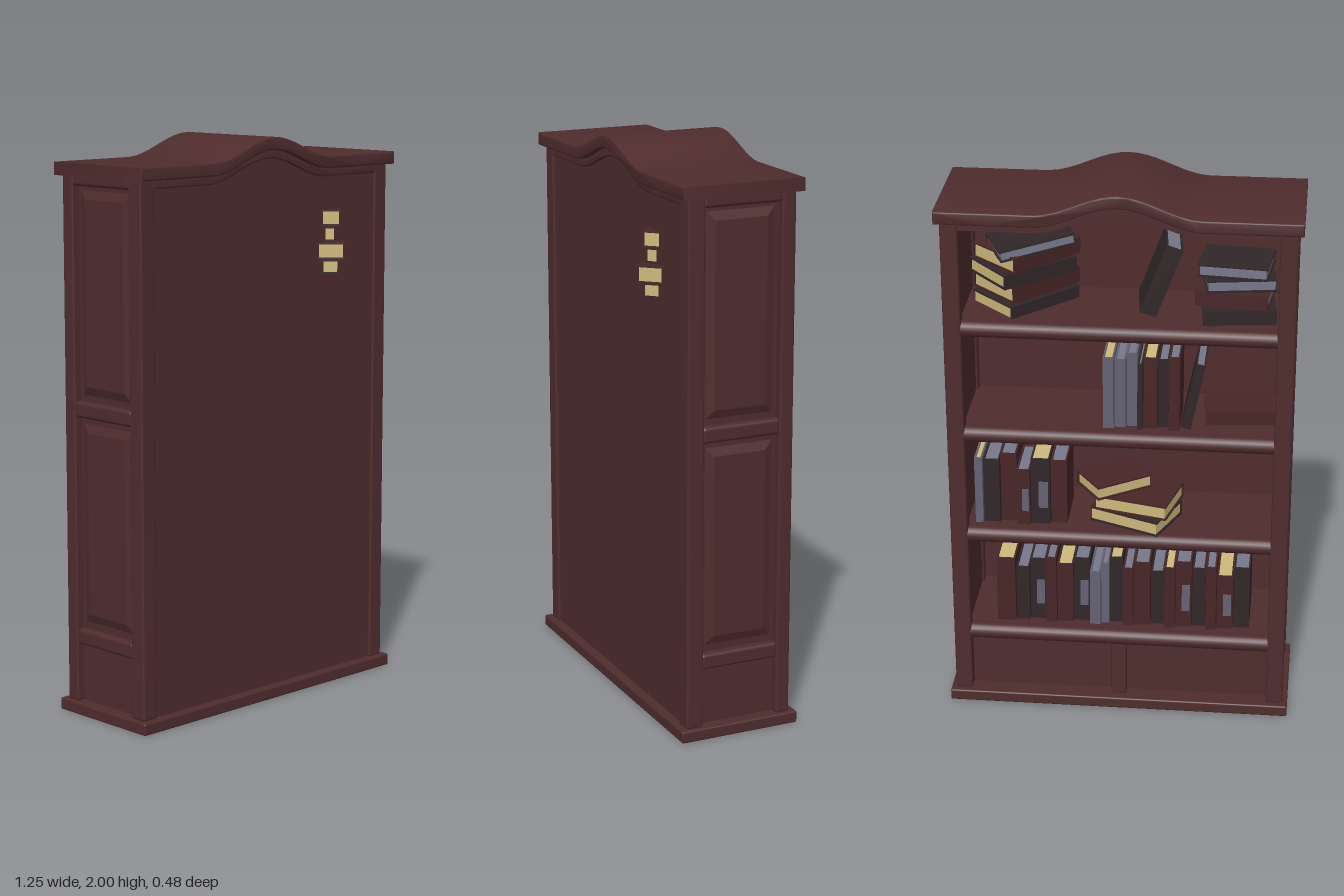
import * as THREE from 'three';
import { toCreasedNormals } from 'three/addons/utils/BufferGeometryUtils.js';
import { RoundedBoxGeometry } from 'three/addons/geometries/RoundedBoxGeometry.js';

const flat = (name, color) => Object.assign(new THREE.MeshStandardMaterial({ color }), { name });
const wood = flat('dark wood', 0x4f2c2d);
const pageTan = flat('tan pages', 0xcdb97c);
const pageGrey = flat('grey pages', 0x77788a);
const charcoal = flat('charcoal cover', 0x302628);
const maroon = flat('maroon cover', 0x482526);
const slate = flat('slate cover', 0x656173);
const covers = { m: maroon, c: charcoal, s: slate };

function add(parent, name, geometry, material, x = 0, y = 0, z = 0) {
  const mesh = new THREE.Mesh(geometry, material);
  mesh.name = name;
  mesh.position.set(x, y, z);
  parent.add(mesh);
  return mesh;
}

// Box given by its min and max corners, optionally with rounded edges
function block(parent, name, x0, x1, y0, y1, z0, z1, r = 0) {
  const s = [x1 - x0, y1 - y0, z1 - z0];
  const g = r ? new RoundedBoxGeometry(...s, 3, r) : new THREE.BoxGeometry(...s);
  return add(parent, name, g, wood, (x0 + x1) / 2, (y0 + y1) / 2, (z0 + z1) / 2);
}

// Height of the crest's top line: flat ends with a swell in the middle
const crest = (x) => 1.924 + (Math.abs(x) < 0.29 ? 0.038 * (1 + Math.cos(Math.PI * x / 0.29)) : 0);

// Slab that follows the crest line; a fixed bottom is used when given
function crestSlab(parent, name, halfWidth, top, bottom, z0, z1, bevel = 0, floor = null) {
  const shape = new THREE.Shape();
  const n = 40;
  const xs = Array.from({ length: n + 1 }, (_, i) => halfWidth * (2 * i / n - 1));
  shape.moveTo(-halfWidth, floor ?? crest(halfWidth) - bottom);
  if (floor === null) xs.slice(1).forEach((x) => shape.lineTo(x, crest(x) - bottom));
  else shape.lineTo(halfWidth, floor);
  xs.reverse().forEach((x) => shape.lineTo(x, crest(x) - top));
  const g = new THREE.ExtrudeGeometry(shape, {
    depth: z1 - z0 - 2 * bevel, bevelEnabled: bevel > 0, bevelSize: bevel,
    bevelThickness: bevel, bevelOffset: -bevel, bevelSegments: 3,
  });
  g.translate(0, 0, z0 + bevel);
  add(parent, name, toCreasedNormals(g, 0.7), wood);
}

// Raised field with sloping edges on a side wall; side is +1 or -1
function raisedField(parent, side, y0, y1) {
  const w = 0.25, h = y1 - y0, slope = 0.03;
  const shape = new THREE.Shape();
  shape.moveTo(-w / 2, -h / 2).lineTo(w / 2, -h / 2).lineTo(w / 2, h / 2).lineTo(-w / 2, h / 2);
  const g = new THREE.ExtrudeGeometry(shape, {
    depth: 0.002, bevelSize: slope, bevelThickness: 0.012, bevelOffset: -slope, bevelSegments: 1,
  });
  const mesh = add(parent, 'sidePanelField', g, wood, side * 0.571, (y0 + y1) / 2, -0.005);
  mesh.rotation.y = side * Math.PI / 2;
}

// Book centred on its middle: thickness x, height y, depth z, spine towards -z
function book(t, h, d, cover, pages, plate = false) {
  const b = new THREE.Group();
  b.name = 'book';
  b.rotation.order = 'YXZ';
  const c = 0.006;
  for (const s of [-1, 1]) {
    add(b, 'coverBoard', new THREE.BoxGeometry(c, h, d), cover, s * (t - c) / 2, 0, 0);
  }
  add(b, 'spine', new THREE.BoxGeometry(t - 2 * c, h, c), cover, 0, 0, -(d - c) / 2);
  add(b, 'pageBlock', new THREE.BoxGeometry(t - 2 * c, h - 0.012, d - 0.012), pages);
  if (plate) add(b, 'spinePlate', new THREE.BoxGeometry(t * 0.5, h * 0.4, 0.004), slate, -t * 0.15, -h * 0.05, -d / 2 - 0.001);
  return b;
}

// Row of standing books from x going towards -x; widths in hundredths.
// Each letter of the pattern picks a cover; a capital adds a spine plate.
function bookRow(parent, name, x, y, widths, heights, pattern) {
  const row = new THREE.Group();
  row.name = name;
  widths.forEach((w, i) => {
    const t = w / 100, h = heights[i % heights.length], key = pattern[i];
    const cover = covers[key.toLowerCase()];
    const b = book(t - 0.002, h, 0.2, cover, i % 4 ? pageGrey : pageTan, key < 'a');
    b.position.set(x - t / 2, y + h / 2, -0.035 + 0.012 * (i % 3));
    row.add(b);
    x -= t;
  });
  parent.add(row);
  return x;
}

// Pile of lying books: [x, z, turn, thickness, length, depth, cover, pages, tilt]
function bookPile(parent, name, y, list) {
  const pile = new THREE.Group();
  pile.name = name;
  for (const [x, z, turn, t, h, d, cover, pages, tilt = 0] of list) {
    const b = book(t, h, d, cover, pages);
    b.position.set(x, y + t / 2, z);
    b.rotation.set(0, turn, Math.PI / 2 + tilt);
    pile.add(b);
    y += t + 0.003;
  }
  parent.add(pile);
}

export function createModel() {
  const root = new THREE.Group();
  root.name = 'bookcase';
  const body = new THREE.Group();
  body.name = 'body';
  body.position.set(-0.0025, 0, -0.0075);
  body.rotation.y = 0.02;
  root.add(body);

  // Plinth, crest and back
  block(body, 'plinth', -0.619, 0.619, 0, 0.042, -0.221, 0.221, 0.006);
  crestSlab(body, 'crest', 0.619, 0, 0.045, -0.221, 0.221, 0.006);
  crestSlab(body, 'frontArchRail', 0.545, 0.04, 0.075, -0.19, -0.15);
  crestSlab(body, 'backArchRail', 0.545, 0.04, 0.075, 0.16, 0.197, 0.005);
  crestSlab(body, 'backPanel', 0.545, 0.07, 0, 0.17, 0.187, 0, 0.04);

  // Side walls, posts, rails and raised fields
  for (const s of [-1, 1]) {
    const span = (a, b) => (s > 0 ? [a, b] : [-b, -a]);
    block(body, 'sideWall', ...span(0.548, 0.572), 0.04, 1.89, -0.15, 0.15);
    for (const f of [-1, 1]) {
      const z = f > 0 ? [0.135, 0.197] : [-0.197, -0.145];
      block(body, f > 0 ? 'rearPost' : 'frontPost', ...span(0.54, 0.602), 0.04, 1.885, ...z, 0.008);
    }
    for (const [a, b] of [[0.248, 0.304], [1.052, 1.108], [1.845, 1.885]]) {
      block(body, 'sideRail', ...span(0.56, 0.6), a, b, -0.15, 0.14, 0.012);
    }
    raisedField(body, s, 0.33, 1.03);
    raisedField(body, s, 1.13, 1.83);
  }

  // Shelves with rounded front edges
  for (const y of [0.277, 0.68, 1.08, 1.483]) {
    block(body, 'shelf', -0.55, 0.55, y - 0.018, y + 0.026, -0.165, 0.175);
    const nose = add(body, 'shelfNosing', new THREE.CylinderGeometry(0.029, 0.029, 1.085, 20), wood, 0, y, -0.168);
    nose.rotation.z = Math.PI / 2;
  }

  // Closed front below the lowest shelf
  block(body, 'kickPanel', -0.545, 0.545, 0.04, 0.26, -0.15, -0.135);
  block(body, 'kickDivider', -0.028, 0.028, 0.04, 0.26, -0.185, -0.14, 0.006);

  // Lowest shelf: one long row
  bookRow(body, 'lowestRow', 0.45, 0.304,
    [7, 5, 6, 4, 6, 6, 4, 3, 5, 4, 6, 5, 4, 6, 5, 4, 6, 6], [0.26, 0.22, 0.25, 0.27, 0.24],
    'mcCmmCsscmmcmMcmMc');

  // Second shelf: row and a low pile with the fore-edges outwards
  bookRow(body, 'secondRow', 0.52, 0.707, [3, 6, 6, 5, 7, 6], [0.26, 0.25, 0.27, 0.22], 'scmMCm');
  bookPile(body, 'secondPile', 0.707, [
    [-0.05, -0.04, Math.PI - 0.4, 0.055, 0.27, 0.2, charcoal, pageTan],
    [-0.06, -0.04, Math.PI - 0.25, 0.055, 0.27, 0.2, maroon, pageTan],
    [0.03, -0.02, Math.PI + 0.6, 0.05, 0.22, 0.16, maroon, pageTan],
  ]);

  // Third shelf: row ending in a leaning book, one lying at the end
  const end = bookRow(body, 'thirdRow', 0.06, 1.107, [4, 4, 4, 2, 5, 4, 4], [0.27, 0.26, 0.28, 0.25], 'ssscmcm');
  const third = book(0.035, 0.25, 0.19, charcoal, pageGrey);
  third.position.set(end - 0.045, 1.235, -0.03);
  third.rotation.z = 0.2;
  body.add(third);
  bookPile(body, 'thirdPile', 1.107, [[-0.41, 0.02, 0.1, 0.05, 0.24, 0.18, maroon, pageGrey]]);

  // Top shelf: untidy pile whose corners pass the back, a leaning book, a second pile
  bookPile(body, 'topPile', 1.503, [
    [0.345, 0.045, 0.8, 0.05, 0.3, 0.22, charcoal, pageTan],
    [0.345, 0.069, 0.82, 0.06, 0.3, 0.22, maroon, pageTan],
    [0.352, 0.036, 0.72, 0.052, 0.3, 0.22, charcoal, pageTan],
    [0.34, 0.048, 0.84, 0.057, 0.3, 0.22, maroon, pageTan],
    [0.32, 0, Math.PI + 0.4, 0.04, 0.27, 0.19, charcoal, pageGrey, 0.14],
  ]);
  const leaning = book(0.06, 0.26, 0.19, charcoal, pageGrey);
  leaning.position.set(-0.13, 1.655, -0.01);
  leaning.rotation.set(0, 0.1, 0.36);
  body.add(leaning);
  bookPile(body, 'endPile', 1.51, [
    [-0.4, -0.02, 0.1, 0.055, 0.25, 0.2, charcoal, pageGrey],
    [-0.39, -0.01, -0.12, 0.05, 0.25, 0.2, maroon, pageGrey],
    [-0.4, 0, Math.PI + 0.15, 0.045, 0.24, 0.19, charcoal, pageGrey],
    [-0.39, 0, Math.PI - 0.1, 0.045, 0.24, 0.19, charcoal, pageGrey],
  ]);
  return root;
}
